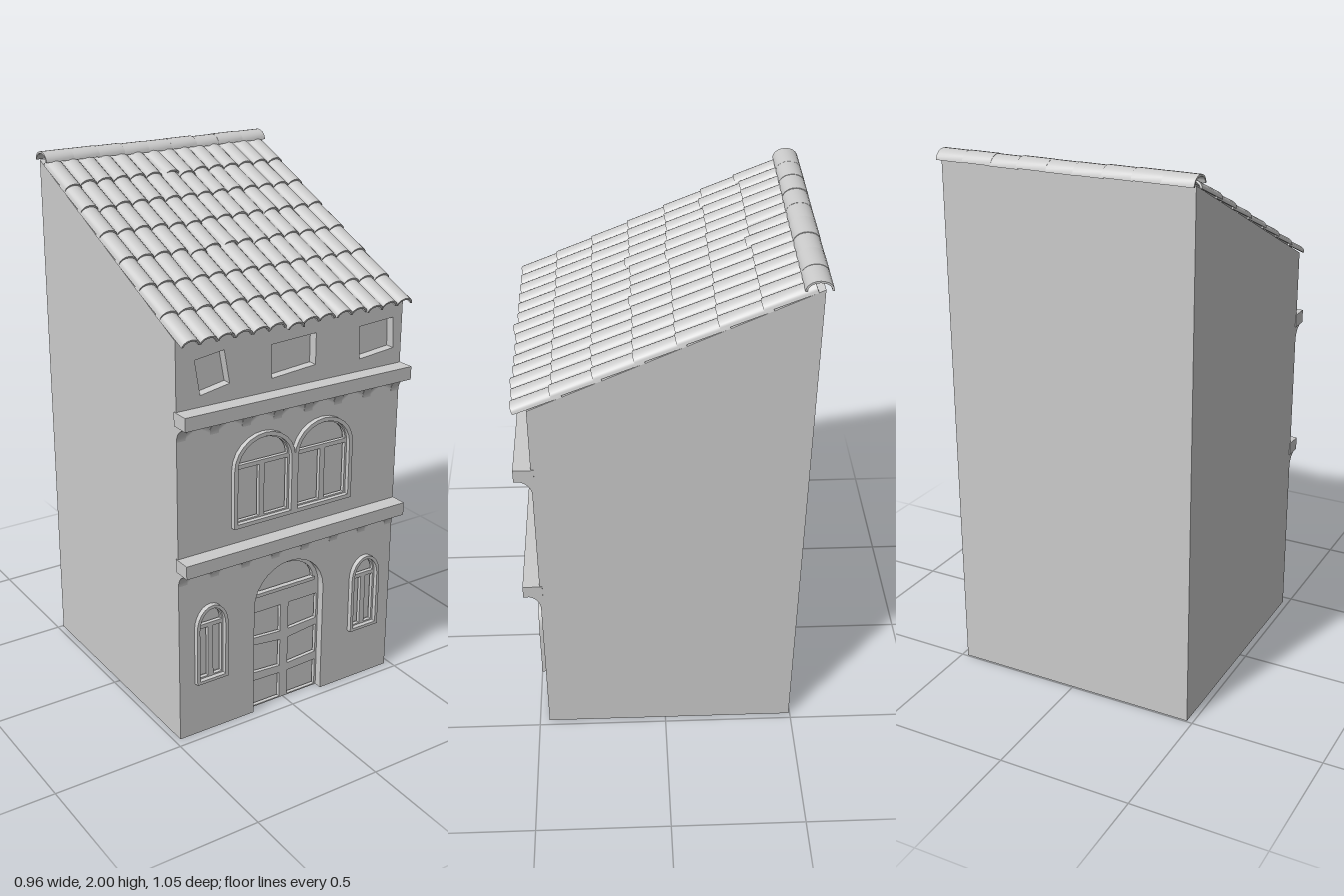
import * as THREE from 'three';
import { toCreasedNormals } from 'three/addons/utils/BufferGeometryUtils.js';
import { ParametricGeometry } from 'three/addons/geometries/ParametricGeometry.js';

const mat = new THREE.MeshStandardMaterial({ color: 0xcccccc, side: THREE.DoubleSide });
const W = 0.477, FRONT = 0.463, BACK = -0.495, EAVE = 1.525, TOP = 1.965, WALL = 0.05;

let seed = 7;
const rand = () => (seed = (seed * 16807) % 2147483647) / 2147483647;

function add(parent, name, geo, x = 0, y = 0, z = 0) {
  const m = new THREE.Mesh(geo, mat);
  m.name = name;
  m.position.set(x, y, z);
  parent.add(m);
  return m;
}
const box = (p, name, x0, x1, y0, y1, z0, z1) =>
  add(p, name, new THREE.BoxGeometry(x1 - x0, y1 - y0, z1 - z0), (x0 + x1) / 2, (y0 + y1) / 2, (z0 + z1) / 2);
const poly = (pts) => new THREE.Shape(pts.map((p) => new THREE.Vector2(...p)));
const extrude = (shape, depth) =>
  toCreasedNormals(new THREE.ExtrudeGeometry(shape, { depth, bevelEnabled: false, curveSegments: 10 }), 0.6);

// Points of an arched opening, anticlockwise from its lower left corner
function archPoints(cx, half, y0, spring, rise, n = 12) {
  const pts = [[cx - half, y0], [cx + half, y0]];
  for (let i = 0; i <= n; i++) {
    const t = (i / n) * Math.PI;
    pts.push([cx + half * Math.cos(t), spring + rise * Math.sin(t)]);
  }
  return pts;
}

// Arched window: raised surround, transom, mullion and set-back pane
function archedWindow(parent, name, cx, half, y0, spring, rise, rim, mull) {
  const g = new THREE.Group();
  g.name = name;
  parent.add(g);
  const surround = poly(archPoints(cx, half, y0, spring, rise));
  surround.holes.push(poly(archPoints(cx, half - rim, y0 + rim, spring, rise - rim)));
  add(g, 'surround', extrude(surround, 0.04), 0, 0, 0.442);
  const h = half - rim;
  const sash = poly(archPoints(cx, h, y0 + rim, spring, rise - rim));
  const mid = cx + mull;
  const cell = (x0, x1) => sash.holes.push(poly([[x0, y0 + rim + 0.006], [x1, y0 + rim + 0.006], [x1, spring - 0.004], [x0, spring - 0.004]]));
  cell(cx - h + 0.008, mid - 0.011);
  cell(mid + 0.011, cx + h - 0.008);
  sash.holes.push(poly(archPoints(cx, h - 0.008, spring + 0.012, spring + 0.012, rise - rim - 0.02)));
  add(g, 'sash', extrude(sash, 0.015), 0, 0, 0.45);
  add(g, 'pane', new THREE.ShapeGeometry(poly(archPoints(cx, h, y0 + rim, spring, rise - rim))), 0, 0, 0.44);
}

// Ledge on brackets, with scalloped coving between them
function ledge(parent, name, y) {
  const g = new THREE.Group();
  g.name = name;
  parent.add(g);
  box(g, 'shelf', -W - 0.003, W + 0.003, y, y + 0.05, FRONT - 0.01, 0.525);
  const cove = (t, d, reach) => [FRONT + reach * (1 - Math.cos(t)), y - d + d * Math.sin(t)];
  const profile = [[FRONT - 0.005, y], [FRONT - 0.005, y - 0.058]];
  for (let i = 0; i <= 8; i++) profile.push(cove((i / 8) * Math.PI / 2, 0.058, 0.058));
  const bracket = extrude(poly(profile), 0.036);
  bracket.rotateY(-Math.PI / 2);
  for (let i = 0; i < 8; i++) add(g, 'bracket', bracket, -0.459 + i * 0.1311 + 0.018, 0, 0);
  const scallop = new ParametricGeometry((u, v, p) => {
    const s = Math.sin(u * Math.PI);
    const [z, yy] = cove(v * Math.PI / 2, 0.052 - 0.022 * s, 0.055 - 0.014 * s);
    p.set((u - 0.5) * 0.0951, yy, z);
  }, 10, 6);
  for (let i = 0; i < 7; i++) add(g, 'scallop', scallop, -0.3934 + i * 0.1311, 0, 0);
}

// Half-round clay tile lying along z, open underneath
function tileGeometry(rx, ry, thick, length) {
  const pts = [];
  for (let i = 0; i <= 10; i++) pts.push([rx * Math.cos(i * Math.PI / 10), ry * Math.sin(i * Math.PI / 10)]);
  for (let i = 10; i >= 0; i--) pts.push([(rx - thick) * Math.cos(i * Math.PI / 10), (ry - thick) * Math.sin(i * Math.PI / 10)]);
  return extrude(poly(pts), length);
}

export function createModel() {
  const model = new THREE.Group();
  model.name = 'townHouse';

  // Front wall with the door notch and window openings
  const door = archPoints(0, 0.156, 0, 0.445, 0.153, 14);
  const wall = poly([[-W, 0], ...[door[0], ...door.slice(2).reverse(), door[1]], [W, 0], [W, EAVE], [-W, EAVE]]);
  const attic = [
    [[-0.383, 1.32], [-0.266, 1.341], [-0.288, 1.463], [-0.404, 1.447]],
    [[-0.092, 1.325], [0.092, 1.341], [0.092, 1.457], [-0.098, 1.447]],
    [[0.288, 1.325], [0.441, 1.341], [0.435, 1.457], [0.282, 1.447]],
  ];
  attic.forEach((q) => wall.holes.push(poly(q)));
  for (const s of [-1, 1]) {
    wall.holes.push(poly(archPoints(s * 0.347, 0.055, 0.225, 0.438, 0.077)));
    wall.holes.push(poly(archPoints(s * 0.128, 0.115, 0.812, 1.02, 0.106)));
  }
  add(model, 'frontWall', extrude(wall, WALL), 0, 0, FRONT - WALL);
  for (const q of attic) add(model, 'atticWindowBack', new THREE.ShapeGeometry(poly(q)), 0, 0, FRONT - 0.035);

  // Side walls, back wall and roof deck; the underside stays open
  const side = new THREE.ShapeGeometry(poly([[-FRONT, 0], [-BACK, 0], [-BACK, TOP], [-FRONT, EAVE]]));
  side.rotateY(Math.PI / 2);
  add(model, 'leftWall', side, W);
  const right = side.clone().scale(1, 1, 1);
  add(model, 'rightWall', right, -W).material = Object.assign(mat.clone(), { side: THREE.DoubleSide });
  add(model, 'backWall', new THREE.PlaneGeometry(2 * W, TOP).rotateY(Math.PI), 0, TOP / 2, BACK);
  const run = FRONT - BACK, slope = Math.atan2(TOP - EAVE, run), len = Math.hypot(run, TOP - EAVE);
  const roof = new THREE.Group();
  roof.name = 'roof';
  roof.position.set(0, TOP, BACK);
  roof.rotation.x = slope;
  model.add(roof);
  add(roof, 'roofDeck', new THREE.PlaneGeometry(2 * W, len).rotateX(-Math.PI / 2), 0, 0, len / 2);

  // Door: panelled double leaf under a fanlight
  const doorGroup = new THREE.Group();
  doorGroup.name = 'door';
  model.add(doorGroup);
  const leaf = poly(door);
  const rows = [[0.005, 0.115, 0.11], [0.15, 0.27, 0.255], [0.3, 0.405, 0.405]];
  for (const s of [-1, 1]) {
    for (const [y0, outer, inner] of rows) {
      leaf.holes.push(poly([[s * 0.018, y0 - (y0 > 0.1 ? 0.008 : 0)], [s * 0.148, y0], [s * 0.148, outer], [s * 0.018, inner]]));
    }
  }
  leaf.holes.push(poly(archPoints(0, 0.128, 0.482, 0.482, 0.095)));
  add(doorGroup, 'doorLeaf', extrude(leaf, 0.015), 0, 0, 0.418);
  add(doorGroup, 'doorPanels', new THREE.ShapeGeometry(poly(door)), 0, 0, 0.412);
  box(doorGroup, 'transom', -0.135, 0.135, 0.468, 0.482, 0.425, 0.438);

  // Windows on the lower and middle floors
  for (const s of [-1, 1]) {
    archedWindow(model, 'sideWindow', s * 0.347, 0.066, 0.215, 0.438, 0.088, 0.012, 0);
    archedWindow(model, 'twinWindow', s * 0.128, 0.129, 0.798, 1.02, 0.12, 0.015, s * 0.004);
  }

  ledge(model, 'lowerLedge', 0.685);
  ledge(model, 'upperLedge', 1.229);

  // Overlapping, slightly uneven roof tiles
  const cols = 14, rowsN = 7, pitch = 0.958 / cols, step = 0.136 / Math.cos(slope);
  const tile = tileGeometry(pitch / 2 + 0.0005, 0.027, 0.007, step + 0.03);
  for (let c = 0; c < cols; c++) {
    for (let r = 0; r < rowsN; r++) {
      const slip = rand() < 0.15 ? 0.02 * rand() : 0.003 * rand();
      const t = add(roof, 'roofTile', tile, (c - (cols - 1) / 2) * pitch, 0.001,
        (r + 0.14) * step + slip);
      t.rotation.x = -0.045;
      if (c > 0 && c < cols - 1 && rand() < 0.07) t.rotation.y = (rand() - 0.5) * 0.12;
    }
  }

  // Ridge tiles along the back edge
  const ridge = tileGeometry(0.046, 0.035, 0.007, 0.113);
  ridge.rotateY(Math.PI / 2);
  for (let i = 0; i < 9; i++) {
    const t = add(model, 'ridgeTile', ridge, -0.481 + i * 0.1062, 1.961 + 0.003 * rand(), -0.475);
    t.rotation.z = 0.01;
  }
  return model;
}
